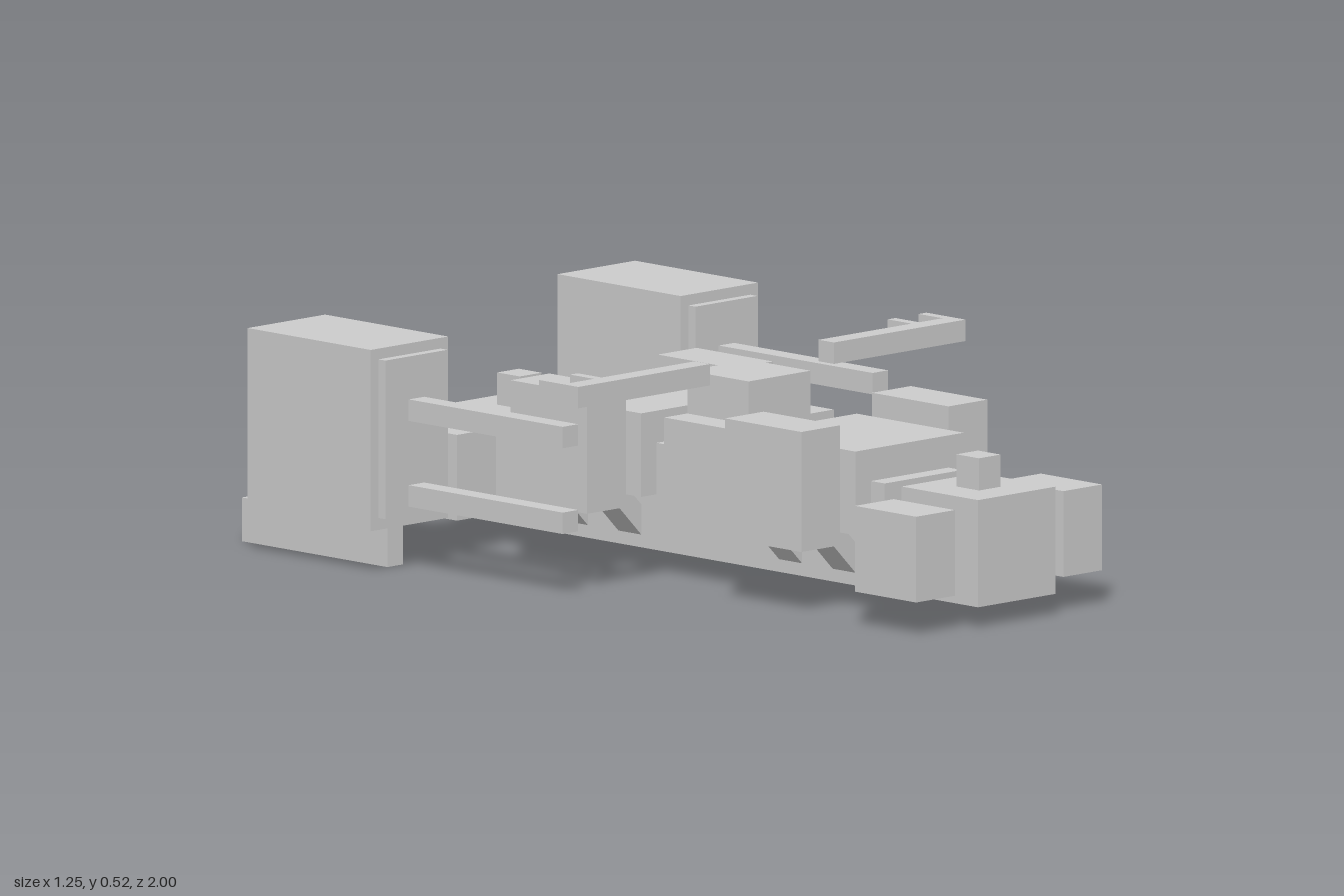
import * as THREE from 'three';

const material = new THREE.MeshStandardMaterial({ color: 0xcccccc, flatShading: true });

export function createModel() {
  const model = new THREE.Group();

  // Box given by its extents on each axis
  function box(name, [x0, x1], [y0, y1], [z0, z1]) {
    const mesh = new THREE.Mesh(new THREE.BoxGeometry(x1 - x0, y1 - y0, z1 - z0), material);
    mesh.position.set((x0 + x1) / 2, (y0 + y1) / 2, (z0 + z1) / 2);
    mesh.name = name;
    model.add(mesh);
    return mesh;
  }
  // The same box on the left (+x) and right (-x)
  function pair(name, [x0, x1], y, z) {
    box(name + 'Left', [x0, x1], y, z);
    box(name + 'Right', [-x1, -x0], y, z);
  }

  // Central spine
  box('spine', [-0.125, 0.125], [0.05, 0.3], [-0.45, 0.695]);

  // Detached end modules with a knob on top and a pod on each side
  for (const [end, z] of [['front', 0.875], ['rear', -0.625]]) {
    box(end + 'Module', [-0.125, 0.125], [0.05, 0.3], [z - 0.125, z + 0.125]);
    box(end + 'Knob', [-0.035, 0.035], [0.3, 0.375], [z - 0.037, z + 0.037]);
    pair(end + 'ModulePod', [0.175, 0.3], [0.08, 0.28], [z - 0.1, z + 0.1]);
  }

  // Body blocks across the spine, with side pods and slanted struts below
  for (const [end, z] of [['front', 0.475], ['rear', -0.225]]) {
    box(end + 'Block', [-0.175, 0.175], [0.18, 0.375], [z - 0.175, z + 0.175]);
    pair(end + 'BlockPod', [0.175, 0.3], [0.15, 0.43], [z - 0.125, z + 0.125]);
    for (const side of [-1, 1]) {
      for (const dz of [-0.0875, 0.0875]) {
        const strut = new THREE.Mesh(new THREE.BoxGeometry(0.16, 0.05, 0.075), material);
        strut.name = end + 'Strut';
        strut.position.set(side * 0.15, 0.14, z + dz);
        strut.rotation.z = side * Math.PI / 4;
        model.add(strut);
      }
    }
  }

  // Stepped middle block
  box('middleBlock', [-0.175, 0.175], [0.18, 0.375], [0.025, 0.225]);
  box('middleCap', [-0.1, 0.1], [0.375, 0.475], [0.025, 0.225]);

  // Tall rear tanks with end plates, forward rods and a skid beneath
  pair('tank', [0.375, 0.625], [0.102, 0.525], [-0.88, -0.478]);
  pair('tankFrontPlate', [0.4, 0.6], [0.13, 0.5], [-0.478, -0.455]);
  pair('tankRearPlate', [0.4, 0.6], [0.13, 0.5], [-0.9, -0.88]);
  pair('upperRod', [0.475, 0.525], [0.35, 0.4], [-0.455, 0.048]);
  pair('lowerRod', [0.475, 0.525], [0.15, 0.2], [-0.455, 0.048]);
  pair('skid', [0.475, 0.525], [0, 0.102], [-1, -0.525]);

  // Raised cross arms with two prongs pointing back
  pair('arm', [0.2, 0.625], [0.475, 0.525], [0.15, 0.2]);
  pair('outerProng', [0.6, 0.625], [0.475, 0.525], [0.072, 0.15]);
  pair('innerProng', [0.5, 0.525], [0.475, 0.525], [0.072, 0.15]);

  return model;
}
